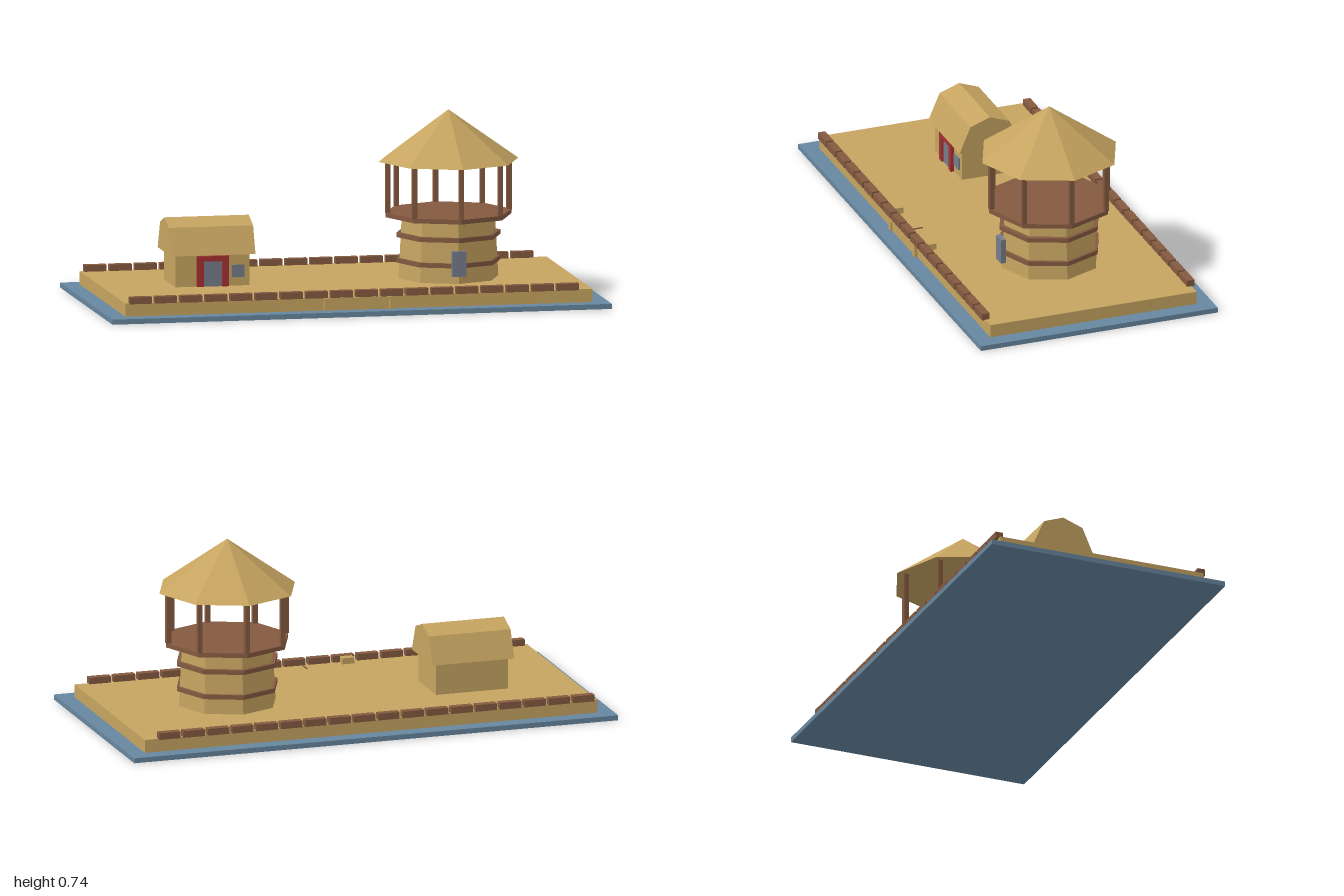
import * as THREE from 'three';

const mat = (name, color) => {
  const m = new THREE.MeshStandardMaterial({ color });
  m.name = name;
  return m;
};

export function createModel() {
  const tan = mat('sand tan', 0xc6a460);
  const brown = mat('wood brown', 0x845a40);
  const blue = mat('water blue', 0x67879f);
  const red = mat('frame red', 0xa83030);
  const grey = mat('door grey', 0x767c8a);
  const model = new THREE.Group();
  model.name = 'fortOutpost';

  const add = (parent, name, geometry, material, x = 0, y = 0, z = 0) => {
    const mesh = new THREE.Mesh(geometry, material);
    mesh.name = name;
    mesh.position.set(x, y, z);
    parent.add(mesh);
    return mesh;
  };
  // Box given by its minimum and maximum corners
  const box = (parent, name, material, [x0, y0, z0], [x1, y1, z1]) =>
    add(parent, name, new THREE.BoxGeometry(x1 - x0, y1 - y0, z1 - z0), material,
      (x0 + x1) / 2, (y0 + y1) / 2, (z0 + z1) / 2);
  // Eight-sided faceted prism between two heights
  const octagon = (parent, name, material, rTop, rBottom, y0, y1) => {
    const g = new THREE.CylinderGeometry(rTop, rBottom, y1 - y0, 8).toNonIndexed();
    g.computeVertexNormals();
    return add(parent, name, g, material, 0, (y0 + y1) / 2, 0);
  };
  const group = (name, x = 0, y = 0, z = 0) => {
    const g = new THREE.Group();
    g.name = name;
    g.position.set(x, y, z);
    model.add(g);
    return g;
  };

  // Water base and raised ground
  box(model, 'waterBase', blue, [-1, 0, -0.497], [1, 0.02, 0.497]);
  box(model, 'ground', tan, [-0.935, 0.02, -0.433], [0.935, 0.072, 0.433]);

  // Rows of blocks along the front and back edges
  const wall = group('edgeBlocks');
  for (const z of [-0.43, 0.43]) {
    for (let i = 0; i < 18; i++) {
      add(wall, 'edgeBlock', new THREE.BoxGeometry(0.088, 0.027, 0.031), brown,
        -0.875 + i * 0.1006, 0.084, z);
    }
  }

  // Front gate with side posts and small blocks behind it
  const gate = group('gate');
  box(gate, 'gatePanel', tan, [-0.12, 0.02, 0.43], [0.12, 0.064, 0.439]);
  box(gate, 'gateLintel', tan, [-0.14, 0.06, 0.43], [0.14, 0.07, 0.446]);
  for (const s of [-1, 1]) {
    add(gate, 'gatePost', new THREE.BoxGeometry(0.02, 0.045, 0.015), tan, s * 0.131, 0.0425, 0.439);
    add(gate, 'gateBlock', new THREE.BoxGeometry(0.05, 0.025, 0.035), tan, s * 0.179, 0.084, 0.396);
  }
  box(gate, 'gateBar', brown, [-0.003, 0.065, 0.357], [0.003, 0.075, 0.445]);

  // Watchtower
  const tower = group('watchtower', 0.45);
  octagon(tower, 'towerBody', tan, 0.187, 0.2, 0.072, 0.315);
  octagon(tower, 'lowerBand', brown, 0.208, 0.208, 0.134, 0.152);
  octagon(tower, 'upperBand', brown, 0.208, 0.208, 0.235, 0.253);
  octagon(tower, 'platform', brown, 0.252, 0.252, 0.315, 0.333);
  octagon(tower, 'towerRoof', tan, 0, 0.28, 0.535, 0.735);
  box(tower, 'towerDoor', grey, [-0.028, 0.102, 0.192], [0.028, 0.202, 0.213]);
  for (let i = 0; i < 8; i++) {
    const a = (i * Math.PI) / 4;
    add(tower, 'towerPost', new THREE.BoxGeometry(0.019, 0.205, 0.019), brown,
      0.243 * Math.sin(a), 0.434, 0.243 * Math.cos(a));
  }

  // Hut with a rounded roof
  const hut = group('hut', -0.507, 0, -0.054);
  box(hut, 'hutWalls', tan, [-0.148, 0.072, -0.11], [0.148, 0.2, 0.11]);
  const profile = new THREE.Shape([[0.128, 0.197], [0.082, 0.304], [0, 0.334], [-0.082, 0.304], [-0.128, 0.197]]
    .map(([x, y]) => new THREE.Vector2(x, y)));
  const roofGeo = new THREE.ExtrudeGeometry(profile, { depth: 0.338, bevelEnabled: false });
  roofGeo.translate(0, 0, -0.169).rotateY(Math.PI / 2);
  add(hut, 'hutRoof', roofGeo, tan);

  // Red door frame, door and window
  box(hut, 'frameTop', red, [-0.064, 0.172, 0.108], [0.064, 0.193, 0.124]);
  for (const s of [-1, 1]) {
    add(hut, 'frameSide', new THREE.BoxGeometry(0.027, 0.1, 0.016), red, s * 0.0505, 0.122, 0.116);
  }
  box(hut, 'hutDoor', grey, [-0.037, 0.072, 0.108], [0.037, 0.172, 0.117]);
  box(hut, 'hutWindow', grey, [0.077, 0.106, 0.108], [0.127, 0.155, 0.117]);

  return model;
}
